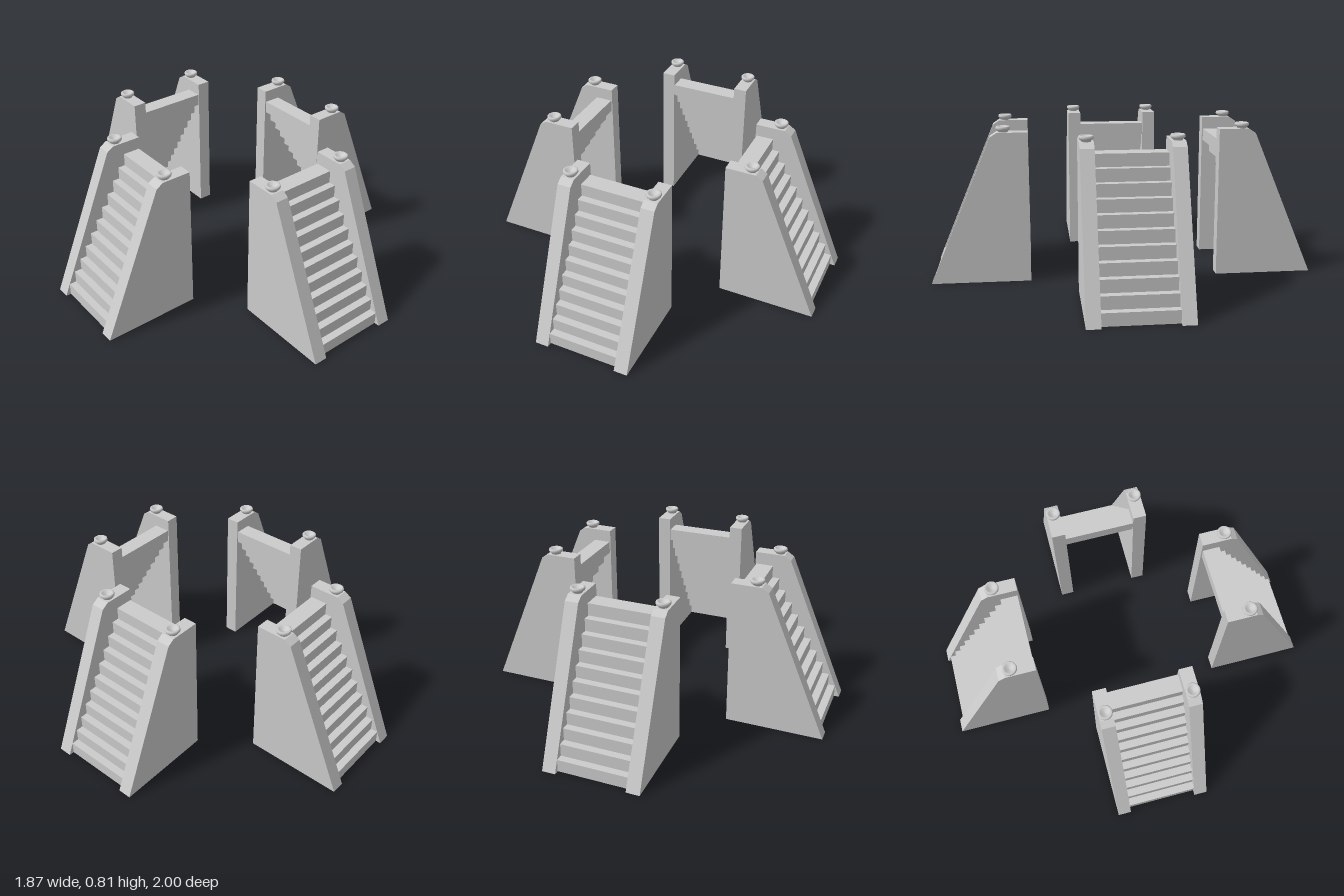
import * as THREE from 'three';

const grey = new THREE.MeshStandardMaterial({ color: 0xcccccc, flatShading: true });
const smoothGrey = new THREE.MeshStandardMaterial({ color: 0xcccccc, side: THREE.DoubleSide });

const STEPS = 11, RISE = 0.065, GOING = 0.0387;
const INNER = 0.183, WALL = 0.07; // half stair width, side wall thickness

function add(parent, name, geometry, material, x, y, z) {
  const mesh = new THREE.Mesh(geometry, material);
  mesh.name = name;
  mesh.position.set(x, y, z);
  parent.add(mesh);
  return mesh;
}

// Sloping side wall: profile drawn as (run, height), then turned so the run lies on z
function wallGeometry() {
  const shape = new THREE.Shape([
    [0, 0], [0.51, 0], [0.19, 0.757], [0.155, 0.78], [0, 0.78],
  ].map(([u, v]) => new THREE.Vector2(u, v)));
  return new THREE.ExtrudeGeometry(shape, { depth: WALL, bevelEnabled: false })
    .translate(0, 0, -WALL / 2)
    .rotateY(-Math.PI / 2);
}

// Flared cap with a shallow dish in its top
function capGeometry() {
  const profile = [
    [0.024, 0], [0.025, 0.008], [0.034, 0.014], [0.037, 0.02],
    [0.036, 0.028], [0.032, 0.031], [0.023, 0.03], [0.014, 0.02], [0, 0.017],
  ].map(([r, y]) => new THREE.Vector2(r, y));
  return new THREE.LatheGeometry(profile, 24);
}

// One staircase with its open back at z = 0, descending towards +z
function createStaircase() {
  const stair = new THREE.Group();
  stair.name = 'staircase';
  const wall = wallGeometry(), cap = capGeometry();
  for (const side of [-1, 1]) {
    const x = side * (INNER + WALL / 2);
    add(stair, 'sideWall', wall, grey, x, 0, 0);
    add(stair, 'wallCap', cap, smoothGrey, x, 0.778, 0.123);
  }
  // Overlapping treads leave a stepped underside
  const depth = 0.09;
  const tread = new THREE.BoxGeometry(INNER * 2, RISE, depth);
  for (let i = 0; i < STEPS; i++) {
    add(stair, 'step', tread, grey, 0, (i + 0.5) * RISE, 0.483 - i * GOING - depth / 2);
  }
  return stair;
}

export function createModel() {
  const model = new THREE.Group();
  model.name = 'fourStaircases';
  // Staircases face outwards in the four directions
  for (let i = 0; i < 4; i++) {
    const angle = i * Math.PI / 2;
    const distance = i % 2 ? 0.425 : 0.49;
    const stair = createStaircase();
    stair.rotation.y = angle;
    stair.position.set(Math.sin(angle) * distance, 0, Math.cos(angle) * distance);
    model.add(stair);
  }
  return model;
}
